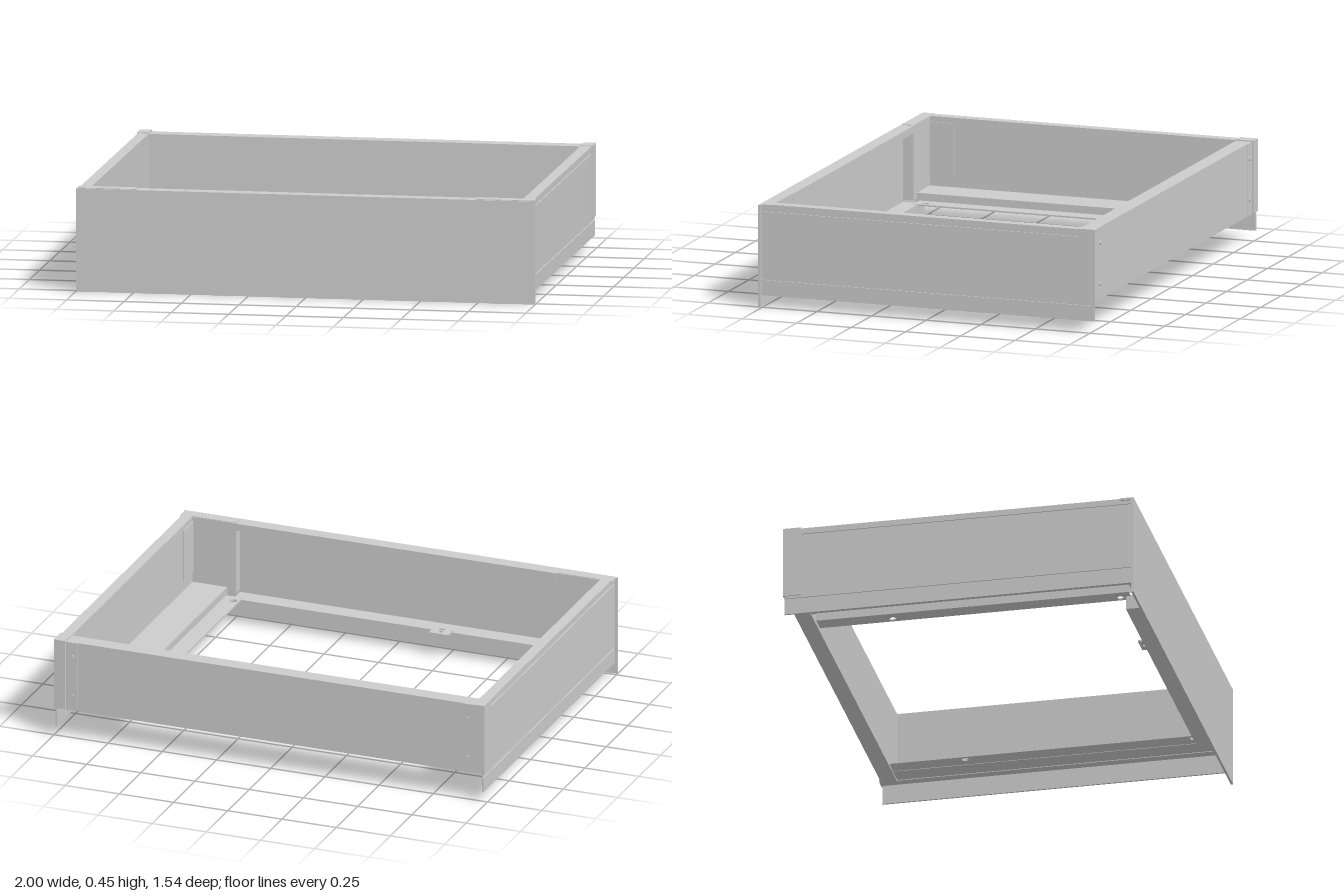
import * as THREE from 'three';

export function createModel() {
  const model = new THREE.Group();
  const material = new THREE.MeshStandardMaterial({ color: 0xcccccc, side: THREE.DoubleSide });

  const add = (name, geometry, parent = model) => {
    const mesh = new THREE.Mesh(geometry, material);
    mesh.name = name;
    parent.add(mesh);
    return mesh;
  };
  // Box given by its limits on each axis
  const slab = (name, [x0, x1], [y0, y1], [z0, z1], parent) => {
    const mesh = add(name, new THREE.BoxGeometry(x1 - x0, y1 - y0, z1 - z0), parent);
    mesh.position.set((x0 + x1) / 2, (y0 + y1) / 2, (z0 + z1) / 2);
    return mesh;
  };
  const outline = (points) => new THREE.Shape(points.map(([x, y]) => new THREE.Vector2(x, y)));
  const hole = (x, y, r) => new THREE.Path().absarc(x, y, r, 0, Math.PI * 2, true);
  // Horizontal sheet drawn in x and z, with round holes
  const sheet = (name, points, holes, top, thick, parent) => {
    const shape = outline(points);
    holes.forEach(([x, z, r]) => shape.holes.push(hole(x, z, r)));
    const geometry = new THREE.ExtrudeGeometry(shape, { depth: thick, bevelEnabled: false, curveSegments: 10 });
    const mesh = add(name, geometry.rotateX(Math.PI / 2), parent);
    mesh.position.y = top;
    return mesh;
  };

  // Front panel with folded top edge and hollow-looking bottom ledge
  slab('frontPanel', [-1, 1], [0, 0.447], [0.76, 0.77]);
  slab('frontTopFlange', [-0.94, 0.94], [0.44, 0.447], [0.71, 0.762]);
  slab('frontTopLip', [-0.74, 0.74], [0.415, 0.447], [0.71, 0.716]);
  slab('frontLedge', [-0.74, 0.74], [0.045, 0.11], [0.68, 0.762]);

  // Latch plate on the front ledge
  const latch = new THREE.Group();
  latch.name = 'latch';
  model.add(latch);
  sheet('latchPlate', [[-0.27, 0.63], [-0.18, 0.63], [-0.18, 0.69], [-0.27, 0.69]],
    [[-0.225, 0.652, 0.01]], 0.118, 0.008, latch);
  slab('latchTongue', [-0.235, -0.215], [0.11, 0.125], [0.67, 0.69], latch);

  // Back panel
  slab('backPanel', [-0.94, 0.94], [0.13, 0.448], [-0.76, -0.69]);

  // Side wall section with two narrow grooves and a lip below the tray
  const wall = outline([
    [0.94, 0.135], [0.98, 0.135], [0.98, 0.05], [0.988, 0.05],
    [0.988, 0.117], [0.983, 0.117], [0.983, 0.124], [0.988, 0.124],
    [0.988, 0.417], [0.983, 0.417], [0.983, 0.424], [0.988, 0.424],
    [0.988, 0.45], [0.94, 0.45],
  ]);

  for (const side of [1, -1]) {
    const half = new THREE.Group();
    half.name = side > 0 ? 'leftSide' : 'rightSide';
    half.scale.x = side;
    model.add(half);

    const sideWall = add('sideWall', new THREE.ExtrudeGeometry(wall, { depth: 1.525, bevelEnabled: false }), half);
    sideWall.position.z = -0.765;

    // Stepped runner: tray, riser and drilled flange
    slab('tray', [0.78, 0.982], [0.138, 0.145], [-0.69, 0.715], half);
    slab('trayRiser', [0.78, 0.786], [0.103, 0.145], [-0.67, 0.715], half);
    sheet('runnerFlange', [[0.705, -0.67], [0.786, -0.67], [0.786, 0.7], [0.705, 0.7]],
      [[0.73, -0.345, 0.015], [0.73, 0.655, 0.015]], 0.112, 0.007, half);

    // Front corner bracket, folded onto the side wall
    slab('cornerBracket', [0.74, 0.945], [0.12, 0.45], [0.712, 0.762], half);
    slab('cornerCap', [0.94, 0.995], [0.44, 0.45], [0.71, 0.762], half);
    slab('cornerTab', [0.936, 0.942], [0.19, 0.425], [0.6, 0.713], half);

    // Rear end cap with riveted tab
    slab('rearCap', [0.94, 0.993], [0.135, 0.453], [-0.77, -0.69], half);
    slab('rearTab', [0.885, 0.945], [0.14, 0.448], [-0.764, -0.758], half);
    for (const y of [0.2, 0.38]) {
      const rivet = add('rivet', new THREE.CylinderGeometry(0.01, 0.01, 0.006, 12), half);
      rivet.rotation.x = Math.PI / 2;
      rivet.position.set(0.91, y, -0.766);
    }
  }
  return model;
}
